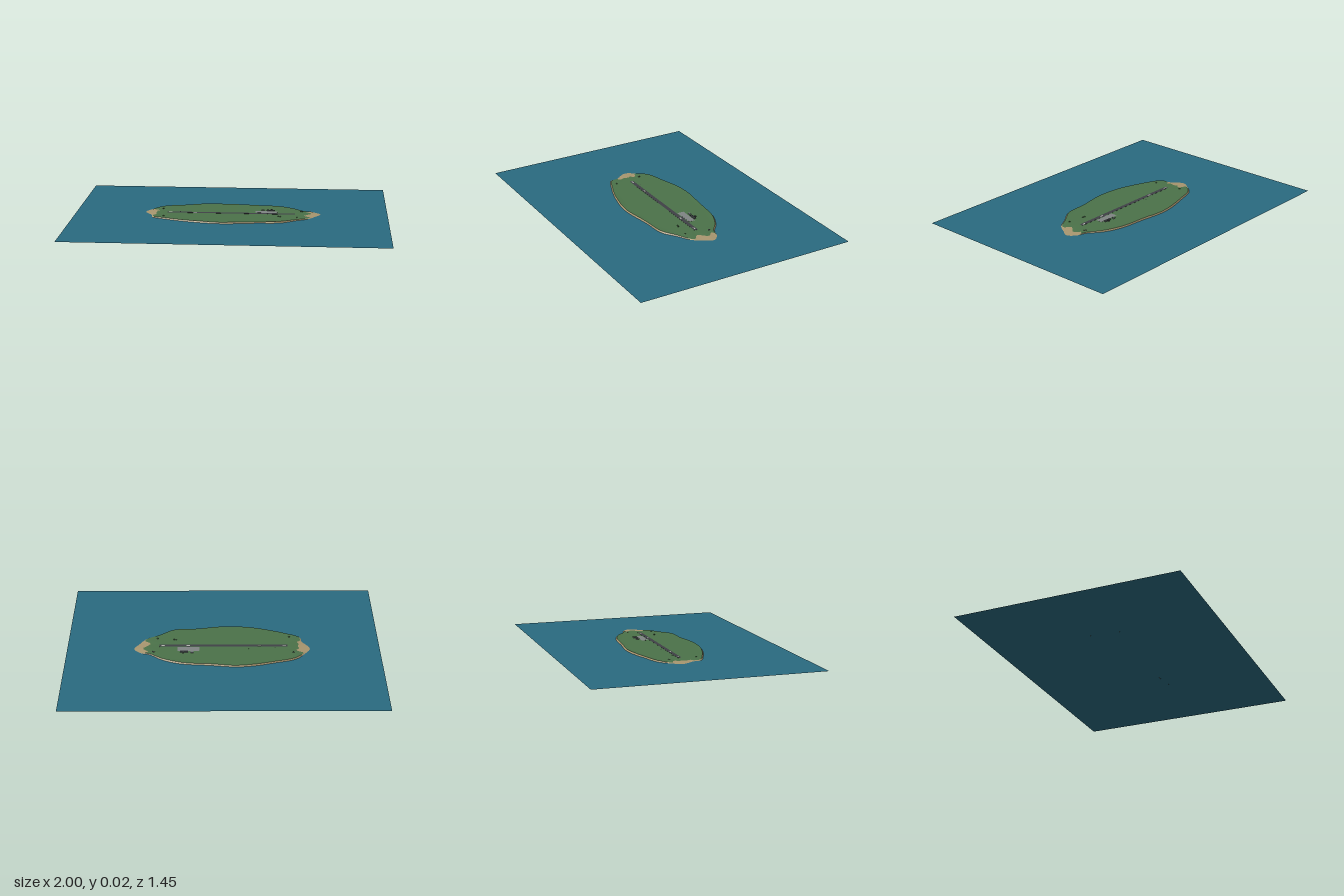
import * as THREE from 'three';

const SEA = 0.0035, GROUND = 0.0105, N = 140;
const mat = (color, extra = {}) => new THREE.MeshStandardMaterial({ color, ...extra });
const M = {
  sea: mat(0x2a6a80, { side: THREE.DoubleSide }),
  sand: mat(0xa8966f, { side: THREE.DoubleSide }),
  grass: mat(0x4b7249, { side: THREE.DoubleSide }),
  asphalt: mat(0x3f4046),
  concrete: mat(0x7f8483),
  paint: mat(0xb4b5b0),
  wall: mat(0x70767a),
  dark: mat(0x34383b),
  trunk: mat(0x5a4630),
  leaf: mat(0x2c4a2c, { flatShading: true }),
  rock: mat(0x454a47, { flatShading: true }),
};

// shoreline, going round from the -x tip by way of the back
const SHORE = [
  [-0.553, -0.035], [-0.52, -0.09], [-0.46, -0.155], [-0.32, -0.2], [-0.185, -0.235],
  [-0.075, -0.245], [0.08, -0.228], [0.285, -0.205], [0.4, -0.155], [0.47, -0.1],
  [0.53, -0.08], [0.572, -0.03], [0.54, 0.025], [0.5, 0.085], [0.415, 0.137],
  [0.325, 0.195], [0.165, 0.212], [-0.05, 0.24], [-0.24, 0.21], [-0.41, 0.15],
  [-0.495, 0.105], [-0.505, 0.05], [-0.535, 0.01],
];
// ragged inner edges of the two beaches, as [z, x]
const WEST = [[-0.1, -0.53], [-0.075, -0.5], [-0.06, -0.455], [-0.035, -0.485], [-0.01, -0.475], [0.02, -0.485], [0.045, -0.47], [0.07, -0.51]];
const EAST = [[-0.095, 0.53], [-0.07, 0.475], [-0.045, 0.51], [-0.025, 0.515], [0, 0.485], [0.03, 0.462], [0.045, 0.49], [0.07, 0.52]];

function lookup(table, z) {
  if (z <= table[0][0]) return table[0][1];
  for (let i = 1; i < table.length; i++) {
    const [z0, x0] = table[i - 1], [z1, x1] = table[i];
    if (z <= z1) return x0 + (x1 - x0) * (z - z0) / (z1 - z0);
  }
  return table[table.length - 1][1];
}

// surface stitched through closed rings of points, outermost first
function loft(rings) {
  const pos = [], idx = [];
  rings.forEach(r => r.forEach(p => pos.push(p.x, p.y, p.z)));
  for (let k = 0; k < rings.length - 1; k++) {
    for (let j = 0; j < N; j++) {
      const a = k * N + j, b = k * N + (j + 1) % N;
      idx.push(b, a, a + N, b, a + N, b + N);
    }
  }
  const g = new THREE.BufferGeometry();
  g.setAttribute('position', new THREE.Float32BufferAttribute(pos, 3));
  g.setIndex(idx);
  g.computeVertexNormals();
  return g;
}

function add(parent, name, geometry, material, x = 0, y = 0, z = 0) {
  const mesh = new THREE.Mesh(geometry, material);
  mesh.name = name;
  mesh.position.set(x, y, z);
  parent.add(mesh);
  return mesh;
}

// box standing on height y
const block = (parent, name, material, x, y, z, w, h, d) =>
  add(parent, name, new THREE.BoxGeometry(w, h, d), material, x, y + h / 2, z);

function buildIsland() {
  const island = new THREE.Group();
  island.name = 'island';
  const curve = new THREE.CatmullRomCurve3(SHORE.map(([x, z]) => new THREE.Vector3(x, SEA, z)), true);
  const shore = curve.getSpacedPoints(N).slice(0, N);

  // grass rim: slightly inside the shore, cut back at the beaches, higher on the long sides
  const rim = shore.map(p => {
    const z = p.z * 0.972;
    const x = THREE.MathUtils.clamp(p.x * 0.986, lookup(WEST, z), lookup(EAST, z));
    const side = THREE.MathUtils.smoothstep(Math.abs(z), 0.06, 0.2);
    return new THREE.Vector3(x, 0.0075 + 0.0045 * side + 0.0008 * side * Math.sin(x * 25), z);
  });
  const inner = (s, y, mix) => rim.map(p =>
    new THREE.Vector3(p.x * s, THREE.MathUtils.lerp(p.y, y, mix), p.z * s));

  add(island, 'beach', loft([shore, rim]), M.sand);
  add(island, 'grass', loft([rim, inner(0.94, GROUND, 0.6), inner(0.84, GROUND, 1), inner(0.4, GROUND, 1), inner(0, GROUND, 1)]), M.grass);
  return island;
}

function buildAirfield() {
  const field = new THREE.Group();
  field.name = 'airfield';
  block(field, 'runway', M.asphalt, 0, GROUND - 0.003, -0.003, 0.82, 0.0036, 0.025);
  for (const x of [-0.39, -0.23, 0.225, 0.388])
    block(field, 'runwayMarking', M.paint, x, GROUND, -0.003, 0.022, 0.0009, 0.009);
  block(field, 'apron', M.concrete, 0.225, GROUND - 0.003, -0.044, 0.14, 0.0034, 0.044);
  block(field, 'taxiway', M.asphalt, 0.225, GROUND - 0.003, -0.018, 0.02, 0.0033, 0.012);

  // buildings behind the apron
  block(field, 'terminal', M.wall, 0.252, GROUND, -0.077, 0.05, 0.004, 0.014);
  block(field, 'terminalRoof', M.dark, 0.252, GROUND + 0.004, -0.077, 0.053, 0.0008, 0.017);
  block(field, 'hangar', M.wall, 0.2, GROUND, -0.083, 0.018, 0.004, 0.013);
  block(field, 'controlTower', M.wall, 0.257, GROUND, -0.091, 0.007, 0.006, 0.007);
  block(field, 'towerCab', M.dark, 0.257, GROUND + 0.006, -0.091, 0.011, 0.0025, 0.011);
  return field;
}

export function createModel() {
  const model = new THREE.Group();
  model.name = 'islandAirfield';

  const sea = add(model, 'sea', new THREE.PlaneGeometry(2, 1.45).rotateX(-Math.PI / 2), M.sea, 0, SEA, -0.003);
  sea.receiveShadow = true;
  model.add(buildIsland(), buildAirfield());

  // small trees with deep-set trunks
  for (const [x, z] of [[-0.425, 0.1], [0.305, 0.067], [0.318, 0.07], [0.425, 0.085], [-0.445, -0.085]]) {
    const tree = new THREE.Group();
    tree.name = 'tree';
    tree.position.set(x, 0, z);
    add(tree, 'trunk', new THREE.CylinderGeometry(0.0015, 0.002, 0.013, 6), M.trunk, 0, 0.0065, 0);
    add(tree, 'crown', new THREE.ConeGeometry(0.006, 0.004, 7), M.leaf, 0, 0.0135, 0);
    model.add(tree);
  }

  // scattered rocks
  for (const [x, z, r] of [[0.445, -0.075, 0.008], [0.455, -0.07, 0.005], [-0.16, -0.04, 0.004], [-0.33, -0.025, 0.004], [-0.45, -0.08, 0.005]])
    add(model, 'rock', new THREE.IcosahedronGeometry(r, 0).scale(1, 0.35, 0.8), M.rock, x, GROUND, z);

  return model;
}
